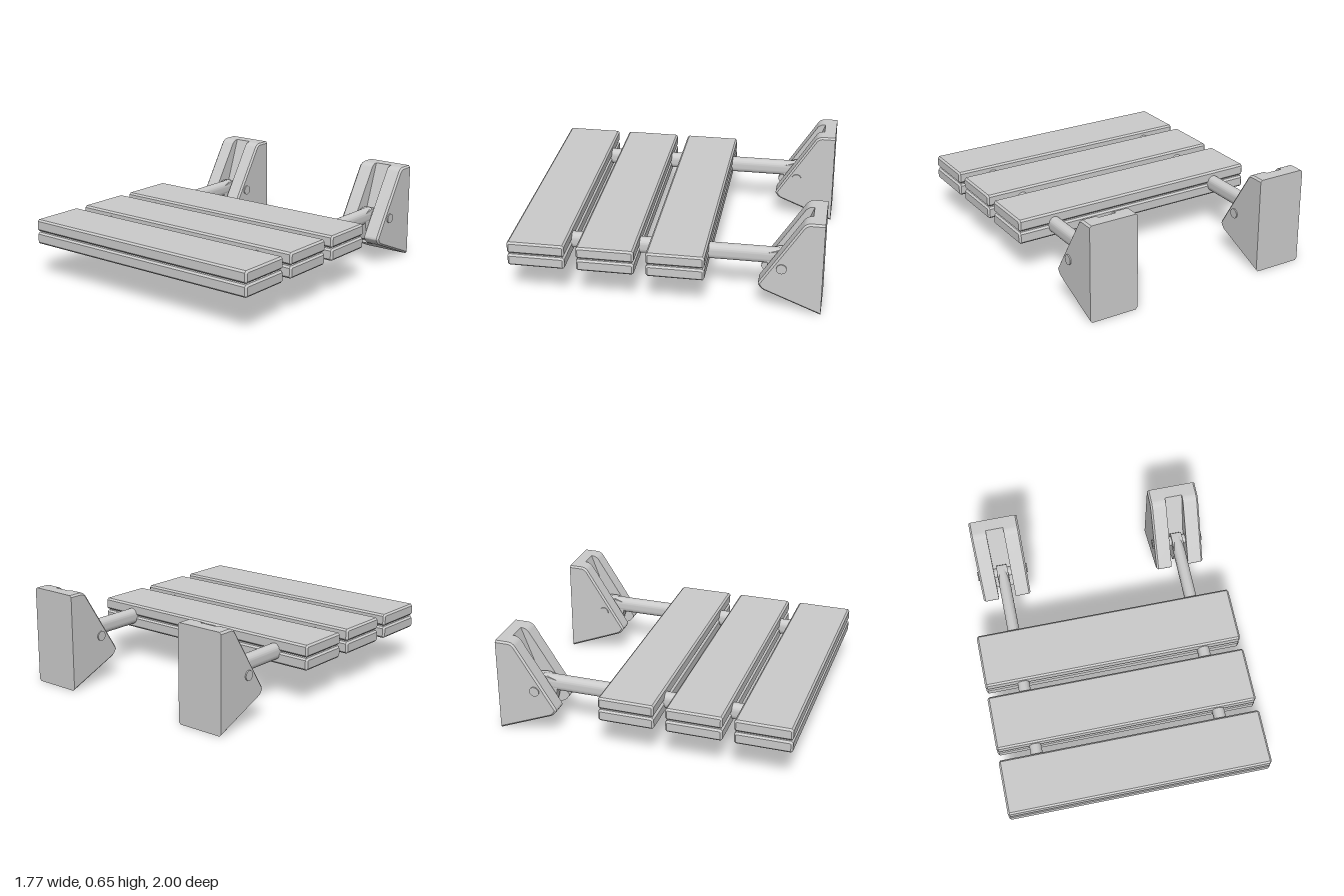
import * as THREE from 'three';
import { toCreasedNormals } from 'three/addons/utils/BufferGeometryUtils.js';

const grey = new THREE.MeshStandardMaterial({ color: 0xcccccc });
const BEVEL = 0.012;

function add(parent, name, geometry, x = 0, y = 0, z = 0) {
  const mesh = new THREE.Mesh(toCreasedNormals(geometry, 0.5), grey);
  mesh.name = name;
  mesh.position.set(x, y, z);
  parent.add(mesh);
  return mesh;
}

// Extrude a (z, y) profile across x, centred on x = 0
function acrossX(shape, width, bevel = 0) {
  const g = new THREE.ExtrudeGeometry(shape, {
    depth: width - 2 * bevel, curveSegments: 8, bevelEnabled: bevel > 0,
    bevelThickness: bevel, bevelSize: bevel, bevelOffset: -bevel, bevelSegments: 1,
  });
  g.translate(0, 0, -(width - 2 * bevel) / 2);
  g.rotateY(-Math.PI / 2);
  return g;
}

function polygon(points) {
  return new THREE.Shape(points.map(([a, b]) => new THREE.Vector2(a, b)));
}

// Slat with chamfered edges
function slatGeometry(w, h, d) {
  const a = d / 2, b = h / 2, c = BEVEL;
  return acrossX(polygon([
    [-a + c, -b], [a - c, -b], [a, -b + c], [a, b - c],
    [a - c, b], [-a + c, b], [-a, b - c], [-a, -b + c],
  ]), w, BEVEL);
}

// Side outline of the wall bracket
function bracketOutline() {
  const s = new THREE.Shape();
  s.moveTo(-1, 0.005);
  s.lineTo(-0.635, 0.155);
  s.quadraticCurveTo(-0.612, 0.168, -0.6, 0.192);
  s.quadraticCurveTo(-0.592, 0.2, -0.602, 0.216);
  s.lineTo(-0.86, 0.622);
  s.quadraticCurveTo(-0.88, 0.655, -0.915, 0.655);
  s.lineTo(-1, 0.655);
  s.closePath();
  return s;
}

function createBracket() {
  const bracket = new THREE.Group();
  const half = 0.168, slot = 0.06, cheek = half - slot;
  for (const side of [-1, 1]) {
    const g = acrossX(bracketOutline(), cheek, BEVEL);
    // keep the wall side flat and unchamfered
    const p = g.attributes.position;
    for (let i = 0; i < p.count; i++) if (p.getZ(i) < -0.98) p.setZ(i, -1);
    g.computeVertexNormals();
    add(bracket, 'bracketCheek', g, side * (slot + cheek / 2));
    // square inner edge of the slot
    add(bracket, 'slotWall', acrossX(bracketOutline(), 0.04), side * (slot + 0.02));
  }
  // core behind the sloped slot
  add(bracket, 'bracketCore', acrossX(polygon([
    [-1, 0.005], [-0.725, 0.118], [-0.92, 0.655], [-1, 0.655],
  ]), slot * 2));

  const pin = new THREE.CylinderGeometry(0.033, 0.033, 0.352, 24);
  pin.rotateZ(Math.PI / 2);
  add(bracket, 'hingePin', pin, 0, 0.325, -0.742);
  return bracket;
}

// Support arm with a rounded section and a stop heel inside the bracket
function createArm() {
  const arm = new THREE.Group();
  const r = 0.04, h = 0.055 - r;
  const section = new THREE.Shape();
  section.absarc(0, h, r, 0, Math.PI);
  section.absarc(0, -h, r, Math.PI, Math.PI * 2);
  section.closePath();
  const bar = new THREE.ExtrudeGeometry(section, { depth: 1.66, bevelEnabled: false, curveSegments: 10 });
  add(arm, 'armBar', bar, 0, 0.325, -0.74);
  add(arm, 'stopHeel', acrossX(polygon([
    [-0.735, 0.155], [-0.72, 0.14], [-0.67, 0.165], [-0.64, 0.275],
    [-0.64, 0.355], [-0.72, 0.375], [-0.775, 0.37], [-0.793, 0.335],
  ]), 0.076));
  return arm;
}

export function createModel() {
  const model = new THREE.Group();
  model.name = 'foldingWallSeat';

  // three pairs of slats clamping the arms
  for (const z of [0.814, 0.367, -0.081]) {
    add(model, 'upperSlat', slatGeometry(1.77, 0.08, 0.372), 0, 0.371, z);
    add(model, 'lowerSlat', slatGeometry(1.77, 0.08, 0.372), 0, 0.283, z);
  }

  for (const side of [-1, 1]) {
    const name = side > 0 ? 'left' : 'right';
    const bracket = createBracket();
    bracket.name = name + 'Bracket';
    bracket.position.x = side * 0.628;
    const arm = createArm();
    arm.name = name + 'Arm';
    arm.position.x = side * 0.628;
    model.add(bracket, arm);
  }
  return model;
}
